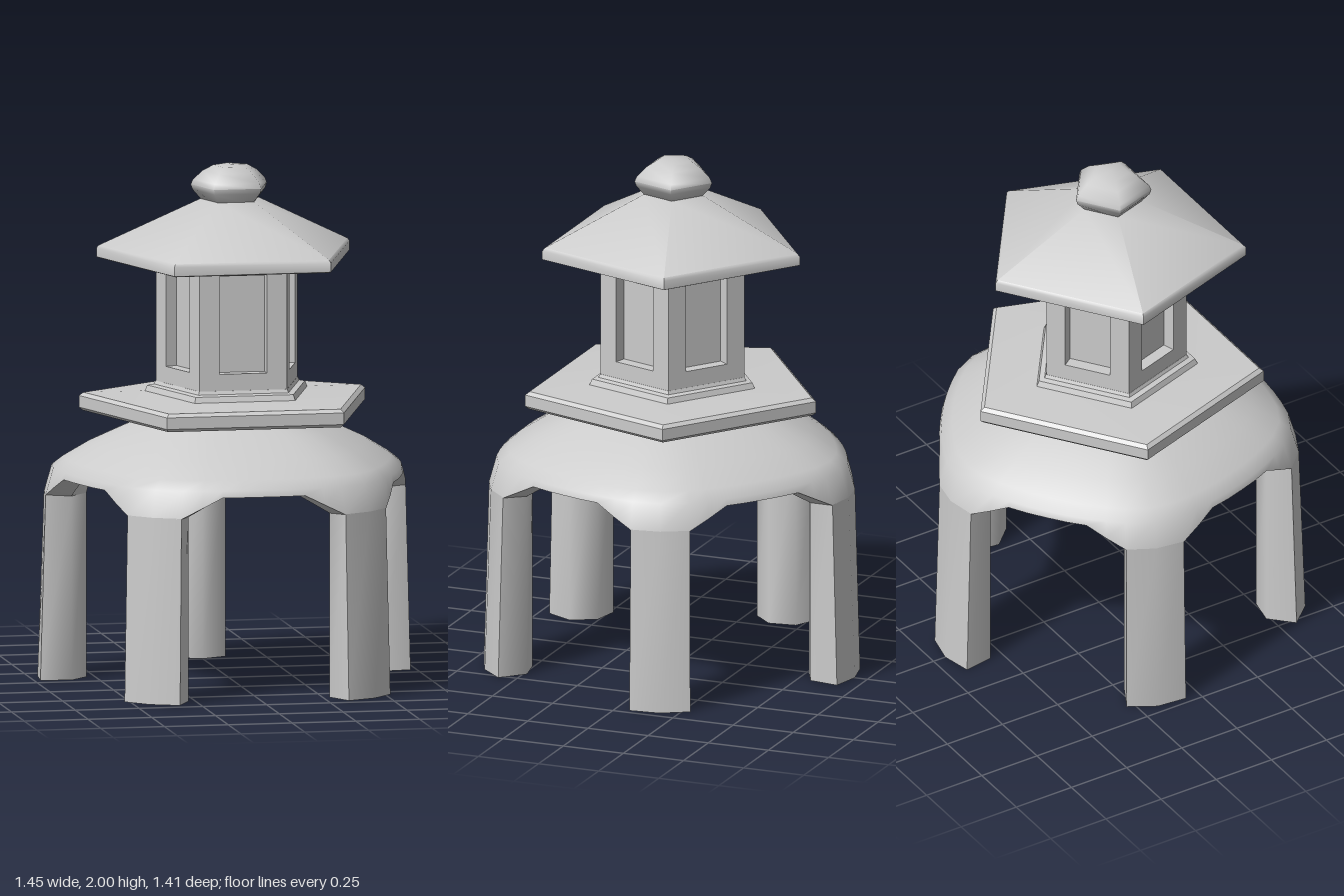
import * as THREE from 'three';
import { toCreasedNormals } from 'three/addons/utils/BufferGeometryUtils.js';

const material = new THREE.MeshStandardMaterial({ color: 0xcccccc });
const openMaterial = new THREE.MeshStandardMaterial({ color: 0xcccccc, side: THREE.DoubleSide });
const RAD = Math.PI / 180;
const CENTER_Z = 0.053;

function addMesh(parent, name, geometry, crease = 35, mat = material) {
  const mesh = new THREE.Mesh(toCreasedNormals(geometry, crease * RAD), mat);
  mesh.name = name;
  parent.add(mesh);
  return mesh;
}

// Five-sided turned solid, one corner pointing to the back
function pentagonSolid(points) {
  const profile = points.map(([r, y]) => new THREE.Vector2(r, y));
  return new THREE.LatheGeometry(profile, 5, Math.PI);
}

// Surface from a grid of points; fn(i, j) returns [radius, angle in degrees, y]
function gridSurface(cols, rows, fn) {
  const positions = [];
  const put = (i, j) => {
    const [r, deg, y] = fn(i, j);
    positions.push(r * Math.sin(deg * RAD), y, r * Math.cos(deg * RAD));
  };
  for (let i = 0; i < cols; i++) {
    for (let j = 0; j < rows; j++) {
      put(i, j); put(i + 1, j); put(i + 1, j + 1);
      put(i, j); put(i + 1, j + 1); put(i, j + 1);
    }
  }
  const geometry = new THREE.BufferGeometry();
  geometry.setAttribute('position', new THREE.Float32BufferAttribute(positions, 3));
  return geometry;
}

// Dome shell, open at the crown: columns run corner to corner, arches cut its lower edge
function domeGeometry() {
  // [offset angle, outer factor, inner factor, height of lower edge]
  const half = [
    [0, 1, 0.56, 0.72],
    [9.2, 0.985, 0.614, 0.72],
    [15.5, 0.965, 0.6, 0.76],
    [22, 0.95, 0.59, 0.8],
    [29, 0.94, 0.575, 0.8],
    [36, 0.935, 0.57, 0.8],
  ];
  const sector = [...half, ...half.slice(1, 5).reverse().map(([d, ...rest]) => [72 - d, ...rest])];
  const outer = [[0.695, 0.825], [0.65, 0.86], [0.55, 0.92], [0.41, 0.985], [0.26, 1.037]];
  const inner = [[0.45, 0.995], [0.6, 0.965], [0.8, 0.9], [0.95, 0.835]];
  const n = sector.length;
  return gridSurface(n * 5, outer.length + inner.length + 2, (i, j) => {
    const [d, fOut, fIn, low] = sector[i % n];
    const angle = 180 + Math.floor(i / n) * 72 + d;
    const column = [
      [fOut * (0.725 - (low - 0.72) * 0.28), low],
      ...outer.map(([r, y]) => [r * fOut, y]),
      ...inner.map(([r, y]) => [r * fIn, y]),
      [fIn, low - 0.005],
    ];
    const [r, y] = column[j % column.length];
    return [r, angle, y];
  });
}

// Hollow leg: angled outer face, wedge-shaped inner face, slight taper, open foot
function legGeometry() {
  const bottom = [[0.734, -9.2], [0.75, 0], [0.734, 9.2], [0.614, 9.2], [0.56, 0], [0.614, -9.2]];
  const top = [[0.714, -9.2], [0.725, 0], [0.714, 9.2], [0.614, 9.2], [0.56, 0], [0.614, -9.2]];
  return gridSurface(6, 1, (i, j) => (j === 0 ? [...bottom[i % 6], 0] : [...top[i % 6], 0.722]));
}

// Wall of the lamp chamber with a window hole, extruded inward
function wallGeometry(radius, y0, y1, depth) {
  const w = radius * Math.sin(36 * RAD);
  const rect = (Type, x, a, b) => {
    const p = new Type();
    p.moveTo(-x, a); p.lineTo(x, a); p.lineTo(x, b); p.lineTo(-x, b); p.closePath();
    return p;
  };
  const shape = rect(THREE.Shape, w, y0, y1);
  shape.holes.push(rect(THREE.Path, 0.093, 1.22, 1.6));
  const geometry = new THREE.ExtrudeGeometry(shape, { depth, bevelEnabled: false });
  geometry.translate(0, 0, radius * Math.cos(36 * RAD) - depth);
  return geometry;
}

export function createModel() {
  const model = new THREE.Group();
  model.name = 'stoneLantern';
  const body = new THREE.Group();
  body.name = 'lanternBody';
  body.position.z = CENTER_Z;
  model.add(body);

  // Legs and arched dome
  const leg = legGeometry();
  for (let k = 0; k < 5; k++) {
    addMesh(body, 'leg', leg, 68, openMaterial).rotation.y = (180 + 72 * k) * RAD;
  }
  addMesh(body, 'archedDome', domeGeometry(), 40);

  // Platform slab with recessed underside and stepped plinth
  addMesh(body, 'platform', pentagonSolid([
    [0, 1.075], [0.29, 1.075], [0.33, 1.035], [0.575, 1.035], [0.59, 1.047], [0.59, 1.092], [0.572, 1.105],
    [0.335, 1.115], [0.325, 1.137], [0.3, 1.142], [0.293, 1.155], [0, 1.155],
  ]), 32);

  // Lamp chamber: five windowed walls round a recessed core
  const radius = 0.292;
  const wall = wallGeometry(radius, 1.14, 1.69, 0.05);
  for (let k = 0; k < 5; k++) {
    addMesh(body, 'windowWall', wall).rotation.y = 72 * k * RAD;
  }
  const coreRadius = radius - 0.048 / Math.cos(36 * RAD);
  addMesh(body, 'windowPanels', pentagonSolid([
    [0, 1.14], [coreRadius, 1.14], [coreRadius, 1.69], [0, 1.69],
  ]));

  // Roof with upright eaves and hollowed underside
  addMesh(body, 'roof', pentagonSolid([
    [0, 1.67], [0.29, 1.67], [0.51, 1.628], [0.522, 1.632], [0.522, 1.667],
    [0.512, 1.678], [0.12, 1.865], [0, 1.87],
  ]), 42);

  // Finial
  addMesh(body, 'finial', pentagonSolid([
    [0, 1.85], [0.11, 1.855], [0.15, 1.9], [0.157, 1.92], [0.148, 1.94],
    [0.11, 1.975], [0.07, 1.997], [0, 2.0],
  ]), 75);

  return model;
}
